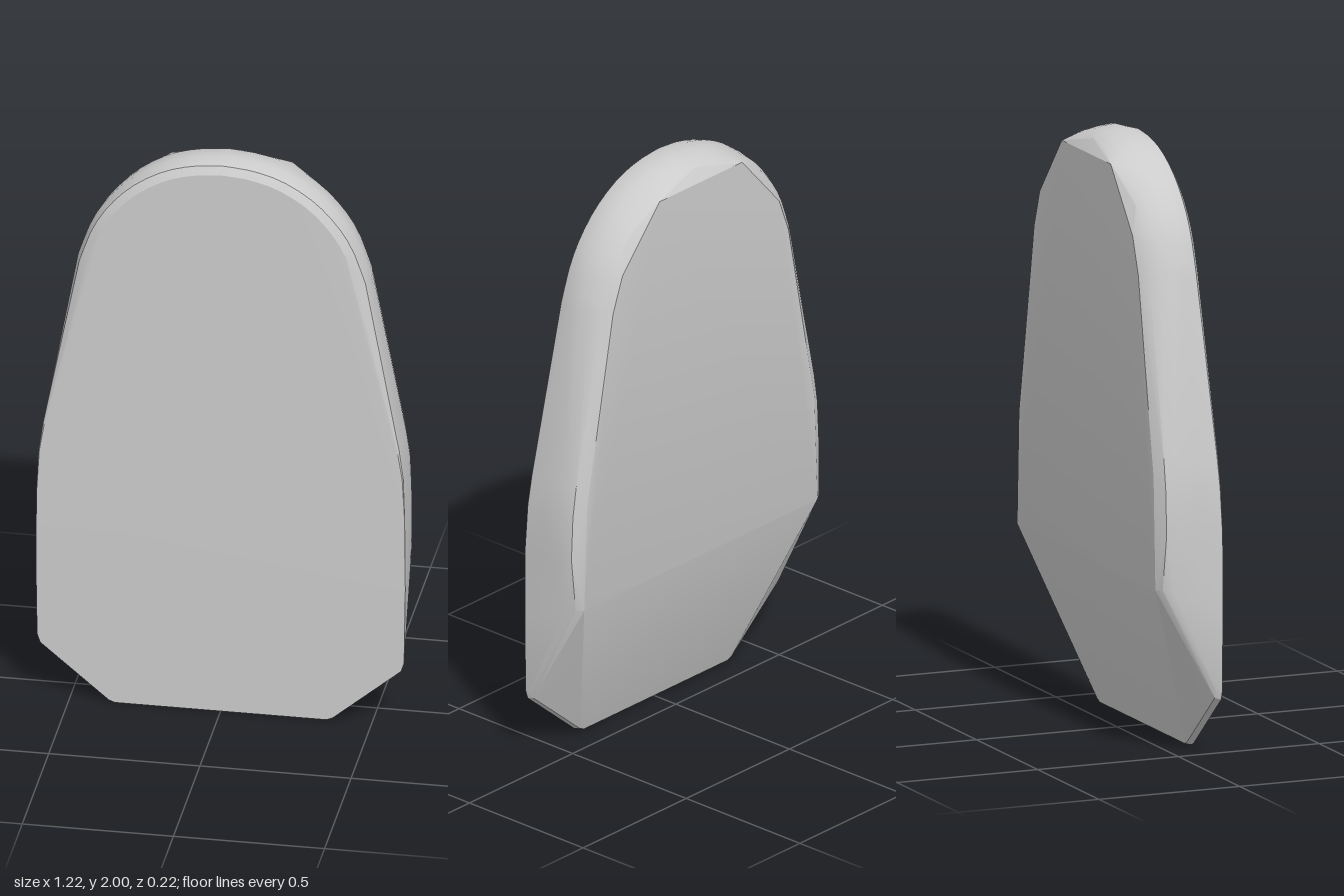
import * as THREE from 'three';
import { ConvexGeometry } from 'three/addons/geometries/ConvexGeometry.js';
import { toCreasedNormals } from 'three/addons/utils/BufferGeometryUtils.js';

// Right half of the widest outline, from the crown down to the hips
const ARCH = [[0, 2], [0.1, 1.99], [0.2, 1.96], [0.3, 1.9], [0.38, 1.82], [0.44, 1.725], [0.485, 1.6]];
const SIDE = [[0.545, 1.26], [0.592, 1.0], [0.605, 0.9], [0.609, 0.75]];
// Lower front corners
const BASE = [[0.611, 0.5], [0.607, 0.23], [0.597, 0.2], [0.37, 0.008], [0.35, 0]];
// Faceted edge of the flat back
const BACK = [[0.2, 1.925], [0.38, 1.72], [0.425, 1.6], [0.55, 0.95], [0.565, 0.575]];

export function createModel() {
  const group = new THREE.Group();
  const points = [];
  const add = (x, y, z) => {
    points.push(new THREE.Vector3(x, y, z));
    if (x > 0) points.push(new THREE.Vector3(-x, y, z));
  };
  const centre = new THREE.Vector2(0, 1.5);
  const inset = ([x, y], d) => {
    const p = new THREE.Vector2(x, y);
    return p.sub(p.clone().sub(centre).setLength(d));
  };

  const arch = new THREE.SplineCurve(ARCH.map(p => new THREE.Vector2(...p)))
    .getPoints(14).map(p => [Math.max(0, p.x), p.y]);
  const outline = [...arch, ...SIDE];

  // Rounded front rim, fading out towards the hips
  for (const p of outline) {
    const t = THREE.MathUtils.clamp((p[1] - 0.75) / 0.8, 0, 1);
    for (const [d, dz] of [[0.038, 0], [0.012, 0.017]]) {
      const q = inset(p, d * t);
      add(q.x, q.y, 0.11 - (0.018 + dz) * t);
    }
    // Bowed rim that rolls over towards the back
    for (const [z, d] of [[0.03, 0], [-0.01, 0.004], [-0.05, 0.012], [-0.085, 0.03]]) {
      const q = inset(p, d * (0.5 + 0.5 * t));
      add(q.x, q.y, z);
    }
  }

  // Flat front foot with clipped corners and a thin lower lip
  for (const [x, y] of BASE) {
    add(x, y, 0.11);
    if (y < 0.3) add(x - 0.003, y + 0.006, 0.088);
  }

  // Flat back, ending at the top of the foot slope
  for (const [x, y] of BACK) add(x, y, -0.11);
  add(0.59, 0.58, -0.095);
  add(0.603, 0.57, -0.06);

  const geometry = toCreasedNormals(new ConvexGeometry(points), 0.45);
  const slab = new THREE.Mesh(geometry, new THREE.MeshStandardMaterial({ color: 0xcccccc }));
  slab.name = 'roundedSlab';
  group.add(slab);
  return group;
}
